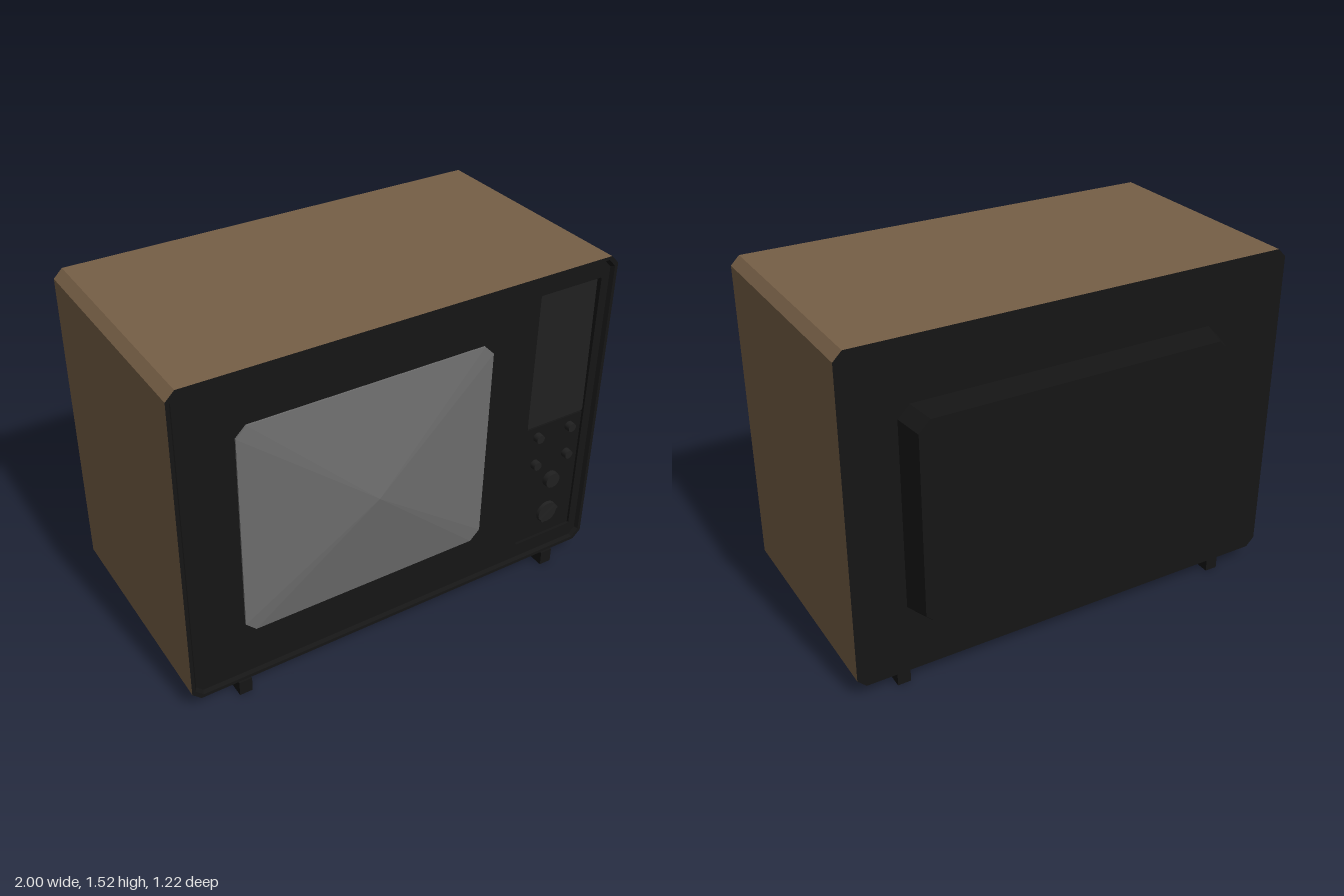
import * as THREE from 'three';

const material = (color) => new THREE.MeshStandardMaterial({ color, roughness: 0.8 });
const brown = material(0x765f46);
const black = material(0x151515);
const darkGrey = material(0x202020);
const glass = material(0x6c6c6c);

// Rectangle outline with cut corners, counter-clockwise seen from the front
function cutRect(cx, cy, hw, hh, c) {
  return [[hw, c - hh], [hw, hh - c], [hw - c, hh], [c - hw, hh],
    [-hw, hh - c], [-hw, c - hh], [c - hw, -hh], [hw - c, -hh]]
    .map(([x, y]) => new THREE.Vector2(cx + x, cy + y));
}

// Skin through sections [halfWidth, halfHeight, cornerCut, z]; a zero section closes the end
function loft(cx, cy, sections) {
  const rings = sections.map(([hw, hh, c, z]) =>
    cutRect(cx, cy, hw, hh, c).map((p) => [p.x, p.y, z]));
  const pos = [];
  for (let r = 0; r + 1 < rings.length; r++) {
    const a = rings[r], b = rings[r + 1];
    const aPoint = sections[r][0] === 0, bPoint = sections[r + 1][0] === 0;
    for (let i = 0; i < 8; i++) {
      const j = (i + 1) % 8;
      if (!aPoint) pos.push(...a[i], ...a[j], ...b[j]);
      if (!bPoint) pos.push(...a[i], ...b[j], ...b[i]);
    }
  }
  const g = new THREE.BufferGeometry();
  g.setAttribute('position', new THREE.Float32BufferAttribute(pos, 3));
  g.computeVertexNormals();
  return g;
}

export function createModel() {
  const model = new THREE.Group();
  model.name = 'television';
  const add = (name, geometry, mat, x = 0, y = 0, z = 0) => {
    const m = new THREE.Mesh(geometry, mat);
    m.name = name;
    m.position.set(x, y, z);
    model.add(m);
    return m;
  };
  const cy = 0.795, hh = 0.73;

  // Wooden cabinet sleeve
  add('cabinet', loft(0, cy, [[1, hh, 0.038, -0.5], [1, hh, 0.038, 0.545]]), brown);

  // Back panel and the tapered housing behind it
  add('backPanel', loft(0, cy, [[0, 0, 0, -0.5], [1, hh, 0.038, -0.5]]), black);
  add('backHousing', loft(0.048, 0.793, [
    [0, 0, 0, -0.612], [0.695, 0.448, 0.05, -0.612], [0.723, 0.465, 0.05, -0.5],
  ]), black);

  // Front rim stepping back to the face
  add('frontRim', loft(0, cy, [
    [1, hh, 0.038, 0.545], [0.985, hh - 0.015, 0.034, 0.545], [0.975, hh - 0.025, 0.03, 0.53],
  ]), black);

  // Front face with an opening for the control column
  const face = new THREE.Shape(cutRect(0, cy, 0.976, hh - 0.024, 0.03));
  face.holes.push(new THREE.Path(cutRect(0.78, cy, 0.155, 0.635, 0.004).reverse()));
  add('frontFace', new THREE.ShapeGeometry(face), black, 0, 0, 0.53);
  add('controlRecess', loft(0.78, cy, [
    [0.155, 0.635, 0.004, 0.53], [0.152, 0.632, 0.004, 0.51], [0, 0, 0, 0.51],
  ]), black);

  // Speaker plate leaning back slightly, control plate below it
  const speaker = add('speakerPlate', new THREE.BoxGeometry(0.3, 0.635, 0.008), darkGrey, 0.78, 1.105, 0.515);
  speaker.rotation.x = -0.02;
  add('controlPlate', new THREE.BoxGeometry(0.302, 0.612, 0.012), black, 0.78, 0.471, 0.517);

  // Bulging screen
  add('screen', loft(-0.172, cy, [
    [0.572, 0.49, 0.045, 0.525], [0.572, 0.49, 0.045, 0.537], [0, 0, 0, 0.61],
  ]), glass);

  // Buttons and knobs
  const knob = (name, x, y, r, front) => {
    const depth = front - 0.515;
    const g = new THREE.CylinderGeometry(r * 0.92, r, depth, 16).rotateX(Math.PI / 2);
    return add(name, g, darkGrey, x, y, 0.515 + depth / 2);
  };
  for (const x of [0.69, 0.863])
    for (const y of [0.585, 0.728]) knob('button', x, y, 0.022, 0.55);
  knob('volumeKnob', 0.79, 0.47, 0.04, 0.548);
  knob('tuningDial', 0.79, 0.285, 0.055, 0.537);
  const grip = add('dialGrip', new THREE.BoxGeometry(0.1, 0.022, 0.016), darkGrey, 0.79, 0.285, 0.542);
  grip.rotation.z = 0.6;

  // Two runners as feet
  for (const x of [-0.768, 0.795])
    add('foot', new THREE.BoxGeometry(0.058, 0.067, 1.045), black, x, 0.0335, 0.0325);

  return model;
}
